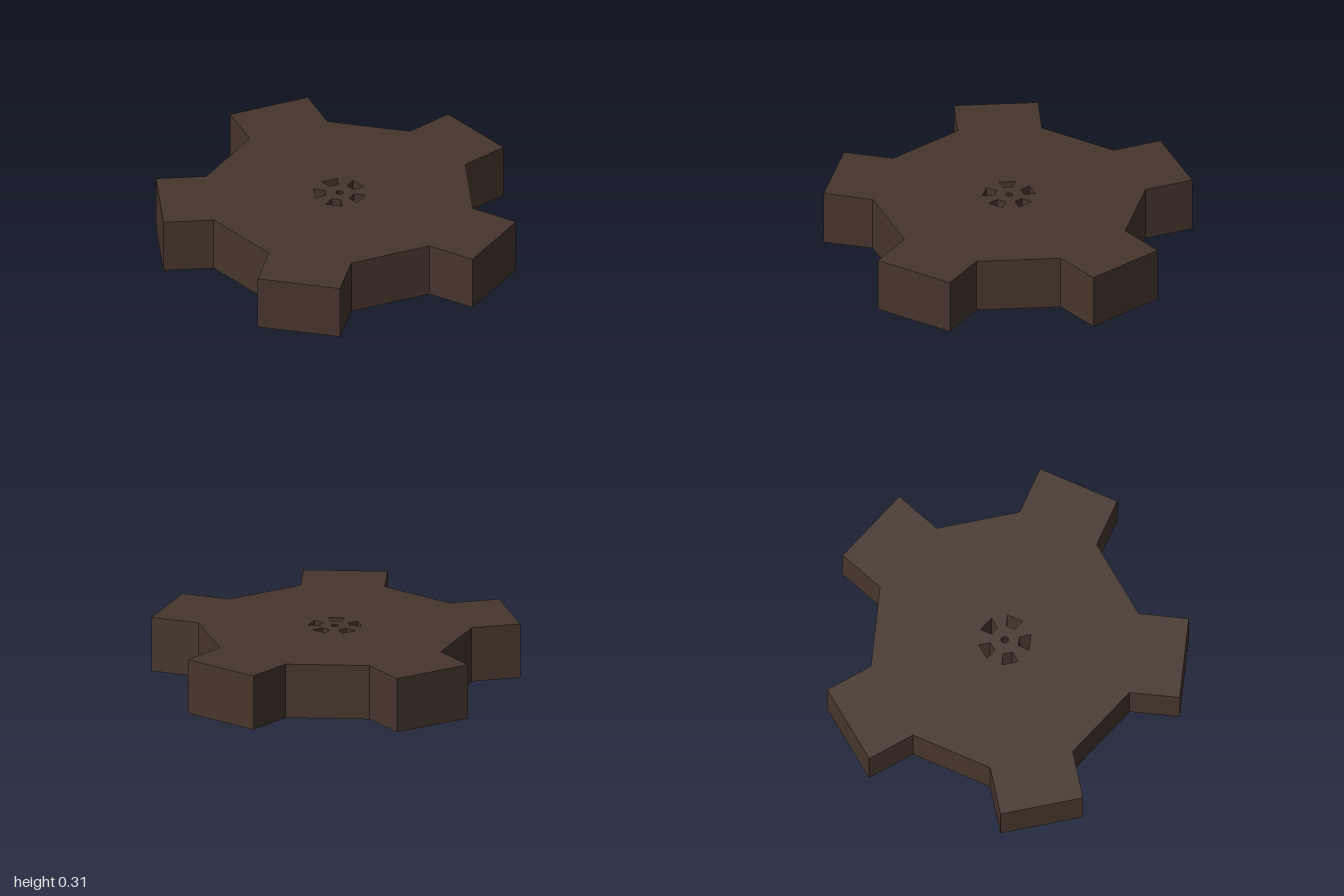
import * as THREE from 'three';

const ARMS = 5;
const HEIGHT = 0.305;
const HALF_WIDTH = 0.2287; // half the width of an arm
const ROOT = 0.704;        // centre to the root of an arm
const TIP = 0.977;         // centre to the end of an arm
const OFFSET_X = 0.026;    // centres the five-armed outline on x = 0

// Point given along an arm (out) and across it (side)
function armPoint(arm, out, side) {
  const angle = Math.PI + (arm * 2 * Math.PI) / ARMS;
  return new THREE.Vector2(out, side).rotateAround(new THREE.Vector2(), angle);
}

export function createModel() {
  const group = new THREE.Group();
  group.name = 'fiveArmedHub';

  const outline = [];
  const holes = [];
  for (let i = 0; i < ARMS; i++) {
    // Square arm standing on every other side of a decagon
    outline.push(
      armPoint(i, ROOT, -HALF_WIDTH),
      armPoint(i, TIP, -HALF_WIDTH),
      armPoint(i, TIP, HALF_WIDTH),
      armPoint(i, ROOT, HALF_WIDTH)
    );
    // Tapered slot near the centre, in line with the arm
    holes.push(new THREE.Path([
      armPoint(i, 0.077, 0.025),
      armPoint(i, 0.137, 0.045),
      armPoint(i, 0.137, -0.045),
      armPoint(i, 0.077, -0.025)
    ]));
  }

  // Small round hole in the middle
  const bore = [];
  for (let i = 0; i < 10; i++) {
    const a = (-i * 2 * Math.PI) / 10;
    bore.push(new THREE.Vector2(0.02 * Math.cos(a), 0.02 * Math.sin(a)));
  }
  holes.push(new THREE.Path(bore));

  const shape = new THREE.Shape(outline);
  shape.holes = holes;

  // Extrude, then lay flat on the ground
  const geometry = new THREE.ExtrudeGeometry(shape, { depth: HEIGHT, bevelEnabled: false });
  geometry.rotateX(-Math.PI / 2);
  geometry.translate(OFFSET_X, 0, 0);

  const plate = new THREE.Mesh(
    geometry,
    new THREE.MeshStandardMaterial({ color: 0x47362c, flatShading: true })
  );
  plate.name = 'hubPlate';
  group.add(plate);
  return group;
}
